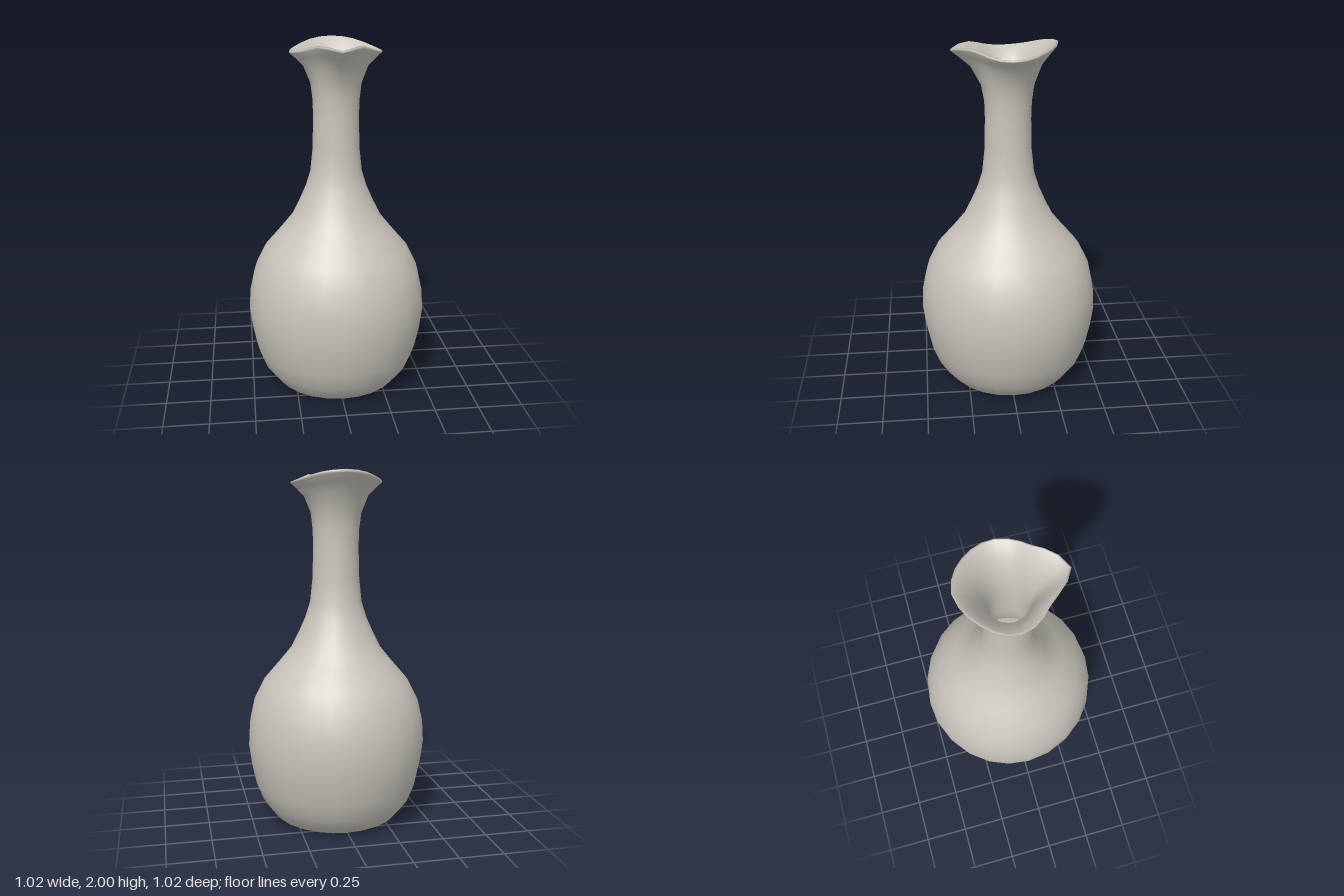
import * as THREE from 'three';
import { mergeVertices } from 'three/addons/utils/BufferGeometryUtils.js';

const SEGMENTS = 24;

// Half of the mouth outline [radius, height], every 22.5 degrees from the front spout to the back
const halfRim = [
  [0.31, 1.965], [0.257, 1.985], [0.226, 1.97], [0.24, 1.948], [0.255, 1.94],
  [0.255, 1.95], [0.252, 1.972], [0.26, 1.992], [0.27, 2.0],
];
const rimCurve = new THREE.CatmullRomCurve3(
  [...halfRim, ...halfRim.slice(1, -1).reverse()].map(([r, y]) => new THREE.Vector3(r, y, 0)),
  true, 'catmullrom', 0.5,
);
const RIM_RADIUS = 0.26;
const RIM_HEIGHT = 1.97;

// Pinches the round mouth into a wavy lip with a pouring spout
function shapeMouth(geometry) {
  const p = geometry.attributes.position;
  for (let i = 0; i < p.count; i++) {
    const x = p.getX(i), y = p.getY(i), z = p.getZ(i);
    const blend = THREE.MathUtils.clamp((y - 1.72) / (RIM_HEIGHT - 1.72), 0, 1);
    if (blend === 0) continue;
    const turn = (Math.atan2(x, z) / (2 * Math.PI) + 1) % 1;
    const rim = rimCurve.getPoint(turn);
    const scale = THREE.MathUtils.lerp(1, rim.x / RIM_RADIUS, blend);
    p.setXYZ(i, x * scale, y + (rim.y - RIM_HEIGHT) * blend * blend, z * scale);
  }
}

function turned(profile) {
  const lathe = new THREE.LatheGeometry(profile.map(([r, y]) => new THREE.Vector2(r, y)), SEGMENTS);
  shapeMouth(lathe);
  lathe.deleteAttribute('uv');
  lathe.deleteAttribute('normal');
  const geometry = mergeVertices(lathe, 1e-4);
  geometry.computeVertexNormals();
  return geometry;
}

export function createModel() {
  const group = new THREE.Group();
  group.name = 'vase';
  const clay = new THREE.MeshStandardMaterial({ color: 0xc8c4bc });
  clay.name = 'pale grey clay';

  const add = (name, geometry) => {
    const mesh = new THREE.Mesh(geometry, clay);
    mesh.name = name;
    group.add(mesh);
    return mesh;
  };

  // Outer skin up to the lip, then down the inside to the floor
  add('body', turned([
    [0.31, 0], [0.35, 0.02], [0.385, 0.06], [0.43, 0.12], [0.47, 0.22], [0.495, 0.34],
    [0.51, 0.455], [0.503, 0.575], [0.475, 0.7], [0.415, 0.82], [0.32, 0.93],
    [0.255, 1.01], [0.215, 1.09], [0.175, 1.18], [0.147, 1.27], [0.133, 1.4], [0.128, 1.58],
    [0.131, 1.68], [0.143, 1.77], [0.182, 1.87], [0.225, 1.92], [0.258, 1.955],
    [0.26, 1.966], [0.25, 1.97],
    [0.212, 1.932], [0.165, 1.88], [0.125, 1.78], [0.108, 1.68], [0.103, 1.58],
    [0.107, 1.4], [0.122, 1.27], [0.19, 1.09], [0.295, 0.93], [0.39, 0.82],
    [0.45, 0.7], [0.485, 0.455], [0.445, 0.22], [0.36, 0.07], [0.3, 0.035],
  ]));

  // Flat underside and inner floor
  add('base', new THREE.CircleGeometry(0.31, SEGMENTS).rotateX(Math.PI / 2));
  add('innerFloor', new THREE.CircleGeometry(0.3, SEGMENTS).rotateX(-Math.PI / 2)).position.y = 0.035;

  return group;
}
